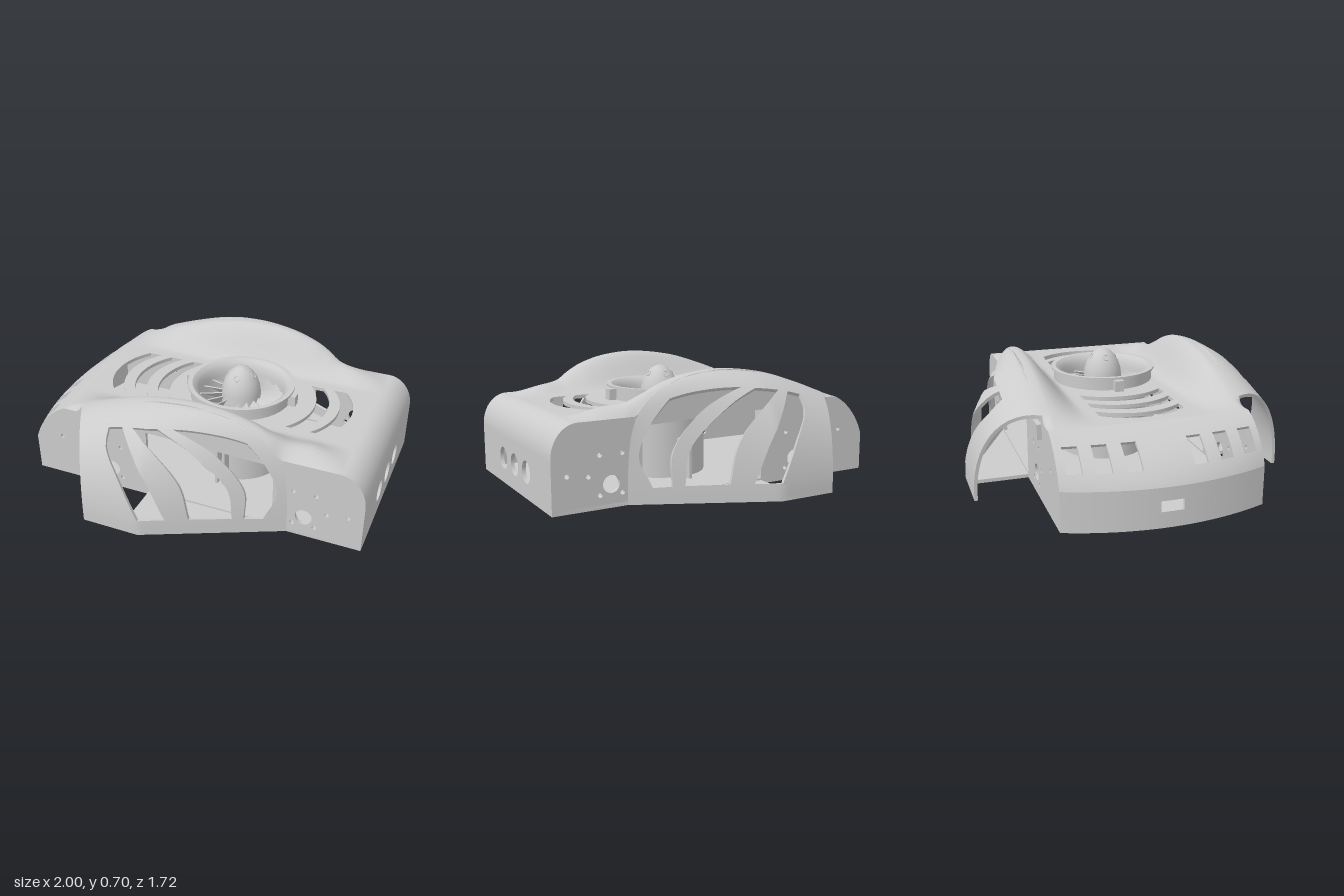
import * as THREE from 'three';
import { toCreasedNormals, mergeGeometries } from 'three/addons/utils/BufferGeometryUtils.js';

const mat = new THREE.MeshStandardMaterial({ color: 0xcccccc, side: THREE.DoubleSide });
const FAN_X = 0.135, HALF = 0.53, FLOOR = 0.06, DECK = 0.5;
const { lerp, smoothstep, degToRad } = THREE.MathUtils;

// Smooth curve through [x, y] pairs
function curve(p) {
  const slope = i => {
    const a = p[Math.max(i - 1, 0)], b = p[Math.min(i + 1, p.length - 1)];
    return (b[1] - a[1]) / (b[0] - a[0]);
  };
  return x => {
    x = THREE.MathUtils.clamp(x, p[0][0], p[p.length - 1][0]);
    let i = 0;
    while (i < p.length - 2 && x > p[i + 1][0]) i++;
    const h = p[i + 1][0] - p[i][0], t = (x - p[i][0]) / h, t2 = t * t, t3 = t2 * t;
    return p[i][1] * (2 * t3 - 3 * t2 + 1) + p[i + 1][1] * (3 * t2 - 2 * t3)
      + h * (slope(i) * (t3 - 2 * t2 + t) + slope(i + 1) * (t3 - t2));
  };
}

// Thin slab over surf(u, v, depth), u running from left(v) to right(v)
function panel(surf, v0, v1, left, right, nu = 10, nv = 10, thick = 0.018) {
  const pos = [];
  const at = (i, j, d) => {
    const v = lerp(v0, v1, j / nv);
    return surf(lerp(left(v), right(v), i / nu), v, d);
  };
  const quad = (a, b, c, d) => pos.push(...a, ...b, ...c, ...a, ...c, ...d);
  for (let i = 0; i < nu; i++) for (let j = 0; j < nv; j++) {
    quad(at(i, j, 0), at(i + 1, j, 0), at(i + 1, j + 1, 0), at(i, j + 1, 0));
    quad(at(i, j, thick), at(i, j + 1, thick), at(i + 1, j + 1, thick), at(i + 1, j, thick));
  }
  for (const j of [0, nv]) for (let i = 0; i < nu; i++)
    quad(at(i, j, 0), at(i, j, thick), at(i + 1, j, thick), at(i + 1, j, 0));
  for (const i of [0, nu]) for (let j = 0; j < nv; j++)
    quad(at(i, j, 0), at(i, j + 1, 0), at(i, j + 1, thick), at(i, j, thick));
  const g = new THREE.BufferGeometry();
  g.setAttribute('position', new THREE.Float32BufferAttribute(pos, 3));
  return g;
}

// Panel with a row of slots between v[1] and v[2]; edges alternate solid and open
function slotted(surf, v, edges, nu) {
  const first = edges[0], last = edges[edges.length - 1];
  const parts = [panel(surf, v[0], v[1], first, last, nu, 10), panel(surf, v[2], v[3], first, last, nu, 10)];
  for (let i = 0; i < edges.length; i += 2) parts.push(panel(surf, v[1], v[2], edges[i], edges[i + 1], 8, 16));
  return mergeGeometries(parts);
}

// Crest height of the side humps and width of the side pods
const crest = curve([[-0.7, 0.5], [-0.6, 0.535], [-0.4, 0.61], [-0.2, 0.67], [0.05, 0.703], [0.25, 0.69],
  [0.4, 0.65], [0.5, 0.6], [0.57, 0.562], [0.7, 0.542], [0.86, 0.5]]);
const podWidth = x => (x < -0.1 ? 0.86 : 0.86 - 0.47 * (x + 0.1));

function edgeHeight(x) {
  const c = 0.03 / Math.max(podWidth(x) - 0.5, 0.03);
  const y = 0.1 + (crest(x) - 0.1) * Math.sqrt(1 - c * c);
  return lerp(DECK, Math.max(DECK, y), smoothstep(x, -0.62, -0.58));
}
function deckHeight(x, z) {
  const zc = 0.5 - 0.08 * smoothstep(x, 0.45, 0.7), h = crest(x);
  if (z < zc) return DECK + (h - DECK) * smoothstep(z, 0.28, zc);
  const e = edgeHeight(x);
  return e + (h - e) * Math.cos((z - zc) / (HALF - zc) * Math.PI / 2);
}
// Sloping tail: s 0..1 is the slope, 1..2 the upright face
function tail(z, s, d = 0) {
  const edge = -1 + 0.1 * (z / HALF) ** 2 + d, a = Math.min(s, 1) * Math.PI / 2;
  const k = 0.5 * (Math.min(s, 1) + Math.sin(a)), m = 0.5 * (1 - Math.min(s, 1) + Math.cos(a));
  return [-0.7 + (edge + 0.7) * k, 0.27 + (0.23 - d) * m - 0.21 * Math.max(s - 1, 0), z];
}
const noseEnd = (z, a, d = 0) => [0.86 + (0.14 - d) * Math.sin(a), 0.33 + (0.17 - d) * Math.cos(a), z];

const circle = (x, y, r) => new THREE.Path().absarc(x, y, r, 0, Math.PI * 2, true);
const poly = pts => new THREE.Shape(pts.map(p => new THREE.Vector2(p[0], p[1])));
const extrude = (shape, depth) => new THREE.ExtrudeGeometry(shape, { depth, bevelEnabled: false, curveSegments: 32 });
const range = (n, f) => Array.from({ length: n + 1 }, (_, i) => f(i / n));

export function createModel() {
  const model = new THREE.Group();
  const add = (name, geo, x = 0, y = 0, z = 0, parent = model) => {
    const m = new THREE.Mesh(toCreasedNormals(geo, 0.6), mat);
    m.name = name;
    m.position.set(x, y, z);
    parent.add(m);
    return m;
  };
  const k = v => () => v;

  // Floor plate with pod wings and fan outlet
  const half = [[1, HALF], [0.6, HALF], [-0.1, 0.86], [-0.2, 0.86], [-0.2, HALF]];
  const floor = poly([...half, ...range(20, t => [tail(lerp(HALF, -HALF, t), 1)[0], lerp(HALF, -HALF, t)]),
    ...half.map(p => [p[0], -p[1]]).reverse()]);
  floor.holes.push(circle(FAN_X, 0, 0.235));
  add('floor', extrude(floor, 0.02).rotateX(Math.PI / 2), 0, FLOOR + 0.02, 0);

  // Flat deck with crescent vents
  const deck = poly([[-0.7, -0.27], [0.86, -0.27], [0.86, 0.27], [-0.7, 0.27]]);
  deck.holes.push(circle(FAN_X, 0, 0.25));
  const vent = (x0, dir) => {
    const arc = (x, f) => range(16, t => {
      const z = f * lerp(-0.23, 0.23, t);
      return new THREE.Vector2(x + dir * (0.354 - Math.sqrt(0.354 ** 2 - z * z)), z);
    });
    deck.holes.push(new THREE.Path([...arc(x0, 1), ...arc(x0 + dir * 0.075, -1)]));
  };
  [-0.64, -0.495, -0.35].forEach(x => vent(x, 1));
  [0.77, 0.635].forEach(x => vent(x, -1));
  add('deck', extrude(deck, 0.02).rotateX(Math.PI / 2), 0, DECK, 0);

  // Sloping tail with six vents and a port
  const zs = [-0.53, -0.49, -0.415, -0.35, -0.275, -0.205, -0.13];
  add('tailSlope', slotted(tail, [0, 0.33, 0.75, 1], [...zs, ...zs.map(z => -z).reverse()].map(k), 24));
  add('tailFace', slotted(tail, [1, 1.33, 1.6, 2], [-HALF, -0.06, 0.06, HALF].map(k), 24));

  // Rounded nose and its face with three round holes
  add('noseEdge', panel(noseEnd, 0, Math.PI / 2, k(-HALF), k(HALF), 2, 16));
  const face = poly([[-HALF, FLOOR], [HALF, FLOOR], [HALF, 0.33], [-HALF, 0.33]]);
  for (const z of [-0.18, 0, 0.18]) face.holes.push(circle(z, 0.2, 0.06));
  add('noseFace', extrude(face, 0.02).rotateY(Math.PI / 2), 0.98, 0, 0);

  // Side wall with inner opening, axle and bolt holes
  const wall = poly([[-0.9, FLOOR], ...range(12, t => tail(HALF, 1 - t)), ...range(80, t => {
    const x = lerp(-0.7, 0.86, t);
    return [x, edgeHeight(x)];
  }), ...range(10, t => noseEnd(HALF, t * Math.PI / 2)), [1, FLOOR]]);
  wall.holes.push(new THREE.Path(poly([[-0.2, 0.09], [-0.2, 0.47], [0.52, 0.45], [0.52, 0.09]]).getPoints()));
  for (const x of [-0.42, 0.69]) {
    wall.holes.push(circle(x, 0.18, 0.045));
    for (const dx of [-0.06, 0.06]) for (const y of [0.13, 0.33]) wall.holes.push(circle(x + dx, y, 0.012));
  }
  for (const [x, y] of [[-0.73, 0.31], [-0.53, 0.23], [0.81, 0.23], [0.92, 0.245]]) wall.holes.push(circle(x, y, 0.012));
  const wallGeo = extrude(wall, 0.02);

  // Pod outline and slot edges, as x against the angle around the pod
  const cosA = t => Math.cos(Math.max(t, 0));
  const mouth = t => -0.42 - 0.175 * (1 - cosA(t));
  const tip = t => -0.1 + (0.36 - 0.03 / cosA(t)) / 0.47;
  const slotEdges = [[-0.1, -0.205, -0.31, -0.33], [0.03, -0.055, -0.17, -0.25], [0.14, 0.09, -0.055, -0.19],
    [0.345, 0.31, 0.125, -0.055], [0.4, 0.39, 0.245, 0.025], [0.49, 0.55, 0.49, 0.385]]
    .map(xs => curve(xs.map((x, i) => [degToRad([5, 25, 45, 60][i]), x])));

  for (const side of [1, -1]) {
    const g = new THREE.Group();
    g.name = side > 0 ? 'frontSide' : 'backSide';
    model.add(g);
    add('sideWall', wallGeo, 0, 0, side > 0 ? HALF - 0.02 : -HALF, g);
    const hump = (x, z, d) => [x, deckHeight(x, z) - d, side * z];
    add('hump', panel(hump, 0.27, HALF, k(-0.7), k(0.86), 78, 26), 0, 0, 0, g);
    const pod = (x, t, d) => {
      const a = Math.max(t, 0);
      return [x, 0.1 + (crest(x) - 0.1 - d) * Math.sin(a) + Math.min(t, 0),
        side * (0.5 + (podWidth(x) - 0.5 - d) * Math.cos(a))];
    };
    add('slottedPod', slotted(pod, [-0.04, degToRad(5), degToRad(60), Math.acos(0.03 / 0.36)],
      [mouth, ...slotEdges, tip], 40), 0, 0, 0, g);
    add('mouthBlock', new THREE.BoxGeometry(0.09, 0.08, 0.03), -0.52, 0.45, side * 0.54, g);
    for (const dx of [-0.02, 0.02])
      add('ductBracket', new THREE.BoxGeometry(0.015, 0.22, 0.07), FAN_X + dx, 0.19, side * 0.28, g);
  }

  // Fan duct with flared lip
  const fan = new THREE.Group();
  fan.name = 'fan';
  fan.position.x = FAN_X;
  model.add(fan);
  const lathe = pts => new THREE.LatheGeometry(pts.map(p => new THREE.Vector2(p[0], p[1])), 48);
  add('duct', lathe([[0.235, 0.06], [0.25, 0.06], [0.25, 0.5], [0.285, 0.5], [0.285, 0.563], [0.3, 0.563], [0.3, 0.575],
    [0.275, 0.575], [0.255, 0.56], [0.243, 0.535], [0.235, 0.5], [0.235, 0.06]]), 0, 0, 0, fan);
  for (const x of [-0.3, 0.3]) add('ductTab', new THREE.BoxGeometry(0.05, 0.06, 0.05), x, 0.53, 0, fan);

  // Hub and spinner
  add('hub', lathe([[0, 0], [0.115, 0], [0.115, 0.4], [0, 0.4]]), 0, 0, 0, fan);
  add('spinner', lathe([[0, 0.41], [0.11, 0.41], [0.11, 0.52], [0.104, 0.56], [0.09, 0.6], [0.068, 0.635],
    [0.045, 0.658], [0.02, 0.671], [0, 0.675]]), 0, 0, 0, fan);
  for (let i = 0; i < 4; i++) {
    const a = i * Math.PI / 2;
    const rim = add('spinnerHole', new THREE.TorusGeometry(0.016, 0.003, 8, 20), 0.071 * Math.cos(a), 0.63, 0.071 * Math.sin(a), fan);
    rim.lookAt(FAN_X + 0.171 * Math.cos(a), 0.7, 0.171 * Math.sin(a));
  }

  // Twisted rotor blades
  const blade = new THREE.BoxGeometry(0.135, 0.006, 0.08, 8, 1, 4).translate(0.168, 0, 0);
  const p = blade.attributes.position;
  for (let i = 0; i < p.count; i++) {
    const a = lerp(1.0, 0.5, (p.getX(i) - 0.1) / 0.135), y = p.getY(i), z = p.getZ(i);
    p.setY(i, y * Math.cos(a) - z * Math.sin(a));
    p.setZ(i, y * Math.sin(a) + z * Math.cos(a));
  }
  for (let i = 0; i < 17; i++) add('blade', blade, 0, 0.47, 0, fan).rotation.y = i * Math.PI * 2 / 17;

  // Outlet fins running down to the hub
  const fin = extrude(poly([[0.1, 0], [0.12, 0], [0.21, 0.06], [0.24, 0.06], [0.24, 0.3], [0.1, 0.3]]), 0.01).translate(0, 0, -0.005);
  for (let i = 0; i < 8; i++) add('outletFin', fin, 0, 0, 0, fan).rotation.y = i * Math.PI / 4;
  return model;
}
